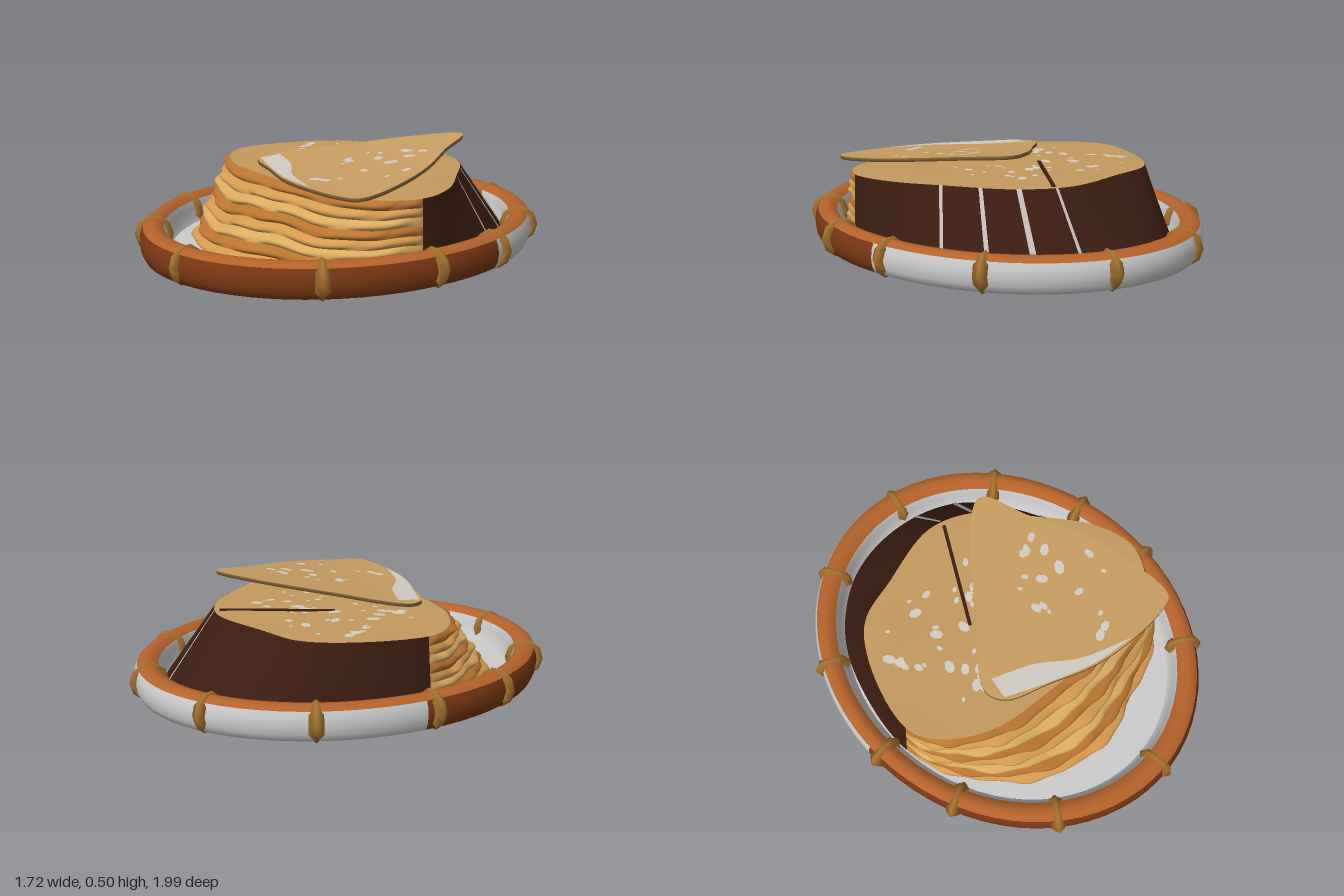
import * as THREE from 'three';
import { mergeVertices } from 'three/addons/utils/BufferGeometryUtils.js';

const V = (x, y, z) => new THREE.Vector3(x, y, z);
const mat = (color) => new THREE.MeshStandardMaterial({ color, side: THREE.DoubleSide });

function add(parent, name, geometry, color) {
  const mesh = new THREE.Mesh(geometry, mat(color));
  mesh.name = name;
  parent.add(mesh);
  return mesh;
}

// Smooth skin over rows of points, every row the same length
function loft(rows) {
  const n = rows[0].length, index = [];
  for (let i = 0; i < rows.length - 1; i++) {
    for (let j = 0; j < n - 1; j++) {
      const a = i * n + j, b = a + 1, c = a + n, d = c + 1;
      index.push(b, a, c, b, c, d);
    }
  }
  let g = new THREE.BufferGeometry().setFromPoints(rows.flat());
  g.setIndex(index);
  g = mergeVertices(g, 1e-5);
  g.computeVertexNormals();
  return g;
}

const span = (n, f) => Array.from({ length: n + 1 }, (_, i) => f(i / n));
const outline = (pts) => new THREE.CatmullRomCurve3(pts.map(([x, z]) => V(x, 0, z)), true);

// Stack outlines: left end, round the back, right end, round the front
const topCurve = outline([[-.67, -.02], [-.57, -.32], [-.42, -.5], [-.2, -.55], [.12, -.59], [.33, -.48], [.5, -.25],
  [.65, 0], [.68, .2], [.56, .36], [.2, .4], [-.1, .36], [-.42, .28], [-.62, .12]]);
const baseCurve = outline([[-.7, -.02], [-.62, -.38], [-.47, -.64], [-.2, -.82], [.14, -.83], [.42, -.7], [.61, -.4],
  [.69, -.05], [.69, .2], [.5, .5], [.2, .61], [-.1, .66], [-.42, .52], [-.63, .24]]);
const flapCurve = outline([[-.32, .14], [-.08, -.12], [.17, -.37], [.35, -.47], [.44, -.24], [.54, 0], [.59, .25],
  [.58, .48], [.5, .505], [.3, .49], [.1, .44], [-.1, .34], [-.29, .24]]);
const FRONT = 8 / 14, FLOOR = .04, HEIGHT = .32;

const wall = (u, t) => {
  const p = baseCurve.getPoint(u).lerp(topCurve.getPoint(u), t);
  p.y = FLOOR + HEIGHT * t;
  return p;
};
const stackY = (x, z) => .36 + .003 * Math.sin(9 * x + 3) * Math.cos(8 * z);
const flapY = (x, z) => {
  const p = .416 + .036 * x - .141 * z;
  return .5 * (p + .38 + Math.sqrt((p - .38) ** 2 + .0003));
};

function makePlate() {
  const plate = new THREE.Group();
  plate.name = 'plate';
  plate.position.z = -.012;
  const rim = new THREE.Group();
  rim.scale.x = .85;
  rim.name = 'rim';
  plate.add(rim);
  const lathe = (name, pts, color, start = 0, length = Math.PI * 2) => add(rim, name,
    new THREE.LatheGeometry(pts.map((p) => new THREE.Vector2(...p)), Math.round(length * 11), start, length), color);
  const side = [[.935, .005], [.962, .015], [.977, .045], [.982, .08], [.978, .115], [.965, .142]];
  lathe('plateBottom', [[0, .005], [.935, .005]], 0x999999);
  lathe('rimFrontSide', side, 0x7c3814, -1.7, 3.4);
  lathe('rimBackSide', side, 0xcccccc, 1.7, Math.PI * 2 - 3.4);
  lathe('rimTop', [[.965, .142], [.945, .157], [.92, .162], [.892, .157], [.868, .138]], 0xb4622a);
  lathe('rimInside', [[.868, .138], [.855, .11], [.85, .07], [.83, FLOOR]], 0xcccccc);
  lathe('plateFloor', [[.83, FLOOR], [0, FLOOR]], 0xcccccc);

  // Knots wrapped round the cane rim
  const knots = [[0, .92], [.55, .67], [.79, .23], [.81, -.18], [.62, -.61], [.2, -.91], [-.3, -.88],
    [-.66, -.57], [-.8, -.07], [-.74, .34], [-.48, .72]];
  for (const [x, z] of knots) {
    const a = Math.atan2(x / .85, z);
    const knot = add(plate, 'knot', new THREE.TorusGeometry(.066, .023, 4, 10), 0xa8742f);
    knot.position.set(.78 * Math.sin(a), .085, .918 * Math.cos(a));
    knot.rotation.y = Math.atan2(Math.sin(a) / .85, Math.cos(a)) - Math.PI / 2;
    knot.scale.z = 1.35;
  }
  return plate;
}

function makeStack() {
  const stack = new THREE.Group();
  stack.name = 'pancakeStack';

  // Smooth sauce-covered back
  add(stack, 'backWall', loft(span(6, (t) => span(64, (k) => wall(k * FRONT, t)))), 0x3b1d11);

  // Drips running down the back right of the wall
  for (const [u, w] of [[4.25, .05], [4.9, .09], [5.5, .06], [6.1, .05]]) {
    const rows = span(4, (t) => span(2, (k) => {
      const p = wall((u + k * w) / 14, t);
      return p.add(V(p.x, .3, p.z).normalize().multiplyScalar(.004));
    }));
    add(stack, 'drip', loft(rows), 0xc4bdb8);
  }

  // Ruffled layers across the front
  const layers = 8, tones = [0xd49a50, 0xb97431, 0xdcab62];
  for (let i = 0; i < layers; i++) {
    const rows = span(5, (v) => span(110, (k) => {
      const t = (i + v) / layers, u = FRONT + k * (1 - FRONT);
      const fade = Math.sqrt(Math.max(0, Math.sin(Math.PI * k)));
      const p = wall(u, t);
      const ruffle = Math.sin(k * 31 + i * 2.1) + .6 * Math.sin(k * 67 + i * 4.3);
      const bulge = Math.sin(Math.PI * v) * (.022 + .009 * ruffle) * fade;
      const out = V(p.x, 0, p.z + .1).normalize();
      p.addScaledVector(out, bulge);
      p.y += fade * Math.sin(Math.PI * t) * (.013 * Math.sin(k * 17 + 1) + .006 * Math.sin(k * 41));
      return p;
    }));
    add(stack, 'layer', loft(rows), tones[i % 3]);
  }

  // Top face, with a knife cut
  add(stack, 'stackTop', loft(span(8, (s) => span(96, (u) => {
    const p = topCurve.getPoint(u).lerp(V(0, 0, -.08), s);
    p.y = s === 0 ? .36 : stackY(p.x, p.z);
    return p;
  }))), 0xc49a5e);
  const cut = add(stack, 'knifeCut', new THREE.BoxGeometry(.52, .012, .016), 0x3b1d11);
  cut.position.set(.03, .361, -.335);
  cut.rotation.y = Math.atan2(.43, .3);
  return stack;
}

// Loose curved slice resting above the stack
function makeFlap() {
  const flap = new THREE.Group();
  flap.name = 'looseSlice';
  const ring = (s, dy) => span(80, (u) => {
    const p = flapCurve.getPoint(u).lerp(V(.22, 0, .1), s);
    p.y = flapY(p.x, p.z) + dy;
    return p;
  });
  add(flap, 'sliceTop', loft(span(8, (s) => ring(s, .008))), 0xc79d61);
  add(flap, 'sliceBottom', loft([...span(8, (s) => ring(1 - s, -.008)), ring(0, .008)]), 0x9a7442);

  // Pale bare patch along the front edge
  const outer = new THREE.CatmullRomCurve3([V(-.285, 0, .23), V(-.1, 0, .335), V(.1, 0, .432), V(.3, 0, .482)]);
  const inner = new THREE.CatmullRomCurve3([V(-.26, 0, .13), V(-.08, 0, .23), V(.08, 0, .37), V(.3, 0, .48)]);
  const rows = span(4, (s) => span(16, (k) => {
    const p = inner.getPoint(k).lerp(outer.getPoint(k), s);
    p.y = flapY(p.x, p.z) + .011;
    return p;
  }).reverse());
  add(flap, 'palePatch', loft(rows.reverse()), 0xd0cbc2);
  return flap;
}

// Small pale flecks scattered on a surface
function scatter(parent, count, spread, height, seed) {
  const random = () => (seed = (seed * 16807) % 2147483647) / 2147483647;
  for (let i = 0; i < count; i++) {
    const a = random() * Math.PI * 2, r = Math.sqrt(random()), size = .008 + .016 * random() ** 2;
    const x = spread.x + spread.rx * r * Math.cos(a), z = spread.z + spread.rz * r * Math.sin(a);
    const g = new THREE.CircleGeometry(size, 7).rotateX(-Math.PI / 2).scale(1, 1, 1.5).rotateY(a);
    const pos = g.attributes.position;
    for (let j = 0; j < pos.count; j++) pos.setY(j, height(x + pos.getX(j), z + pos.getZ(j)));
    add(parent, 'fleck', g.translate(x, 0, z), 0xd2cdc4);
  }
}

export function createModel() {
  const model = new THREE.Group();
  model.name = 'pancakePlate';
  const stack = makeStack(), flap = makeFlap();
  scatter(stack, 45, { x: -.12, z: -.14, rx: .43, rz: .34 }, (x, z) => stackY(x, z) + .003, 7);
  scatter(flap, 18, { x: .3, z: .08, rx: .19, rz: .32 }, (x, z) => flapY(x, z) + .011, 91);
  model.add(makePlate(), stack, flap);
  return model;
}
